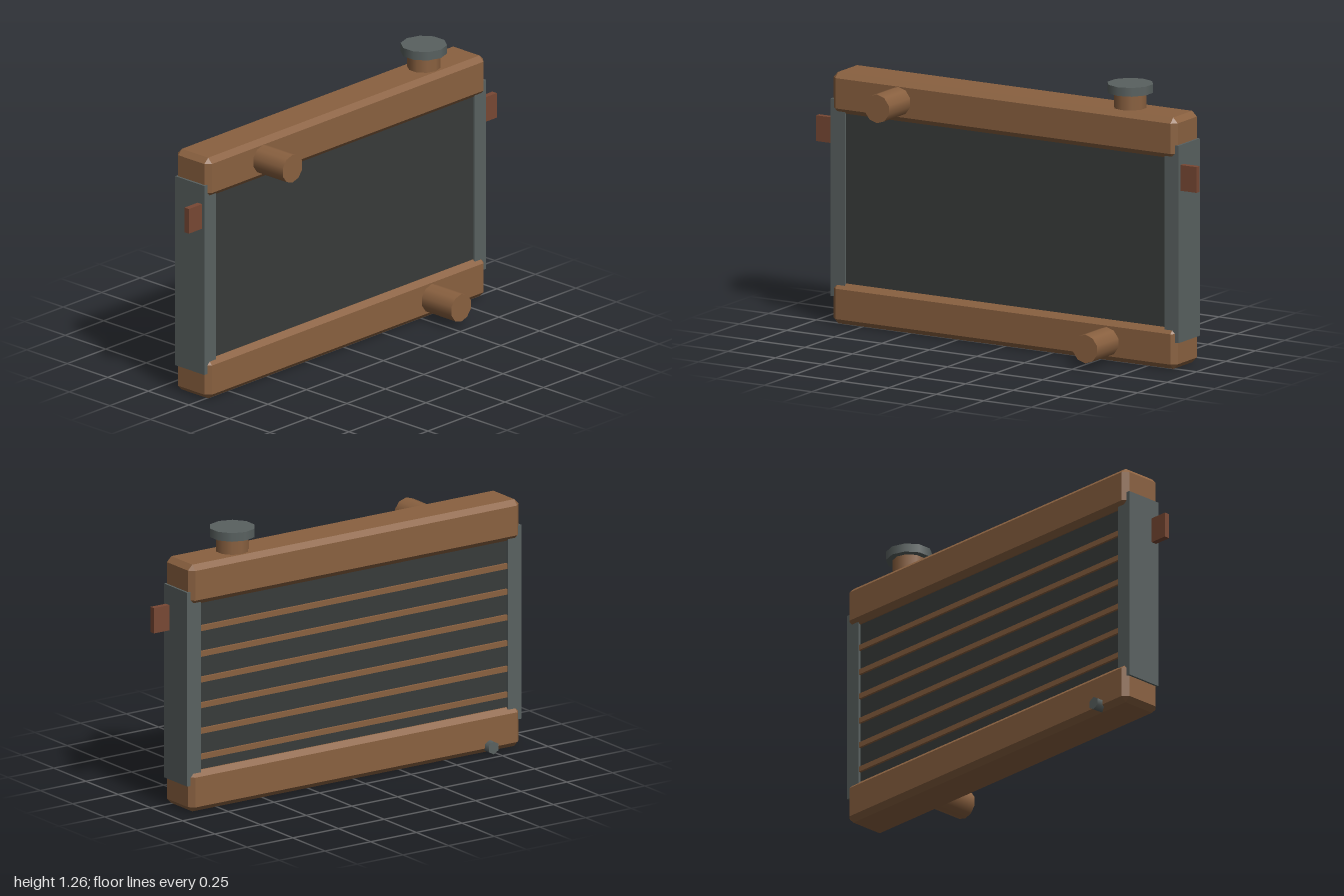
import * as THREE from 'three';
import { ConvexGeometry } from 'three/addons/geometries/ConvexGeometry.js';

const material = (color, flatShading = false) => new THREE.MeshStandardMaterial({ color, flatShading });

// Box with every edge cut at 45 degrees
function chamferedBox(w, h, d, c) {
  const points = [];
  for (const sx of [-1, 1]) for (const sy of [-1, 1]) for (const sz of [-1, 1]) {
    for (let face = 0; face < 3; face++) {
      const cut = [c, c, c];
      cut[face] = 0;
      points.push(new THREE.Vector3(sx * (w / 2 - cut[0]), sy * (h / 2 - cut[1]), sz * (d / 2 - cut[2])));
    }
  }
  return new ConvexGeometry(points);
}

export function createModel() {
  const model = new THREE.Group();
  model.name = 'radiator';
  const bronze = material(0x8a6140);
  const bronzeFlat = material(0x8a6140, true);
  const steel = material(0x596160);
  const darkFins = material(0x383b3a);
  const copper = material(0x784834);
  const midZ = -0.075;

  function add(name, geometry, mat, x, y, z) {
    const mesh = new THREE.Mesh(geometry, mat);
    mesh.name = name;
    mesh.position.set(x, y, z);
    model.add(mesh);
    return mesh;
  }

  // Finned core and the tubes across its back
  add('core', new THREE.BoxGeometry(1.7, 0.84, 0.155), darkFins, 0, 0.58, midZ + 0.002);
  for (let i = 0; i < 6; i++) {
    add('coreTube', new THREE.BoxGeometry(1.69, 0.025, 0.02), bronze, 0, 0.25 + i * 0.12, -0.152);
  }

  // Upper and lower tanks
  const tank = chamferedBox(1.81, 0.187, 0.21, 0.024);
  add('upperTank', tank, bronzeFlat, 0, 1.061, midZ);
  add('lowerTank', tank, bronzeFlat, 0, 0.0955, midZ);

  // Side plates with mounting tabs
  for (const side of [-1, 1]) {
    add('sidePlate', new THREE.BoxGeometry(0.075, 0.905, 0.18), steel, side * 0.8775, 0.578, midZ);
    add('mountingTab', new THREE.BoxGeometry(0.09, 0.118, 0.027), copper, side * 0.955, 0.881, -0.0135);
  }

  // Hose pipes facing forward
  const pipe = new THREE.CylinderGeometry(0.066, 0.066, 0.21, 10).rotateX(Math.PI / 2);
  add('inletPipe', pipe, bronze, -0.55, 1.064, 0.107);
  add('outletPipe', pipe, bronze, 0.545, 0.093, 0.107);

  // Filler neck and cap
  add('fillerNeck', new THREE.CylinderGeometry(0.075, 0.075, 0.09, 10), bronze, 0.605, 1.185, midZ);
  add('fillerCap', new THREE.CylinderGeometry(0.105, 0.105, 0.04, 10), steel, 0.605, 1.245, midZ);

  // Drain plug at the lower back
  add('drainPlug', new THREE.CylinderGeometry(0.03, 0.03, 0.055, 6).rotateX(Math.PI / 2), steel, -0.73, 0.032, -0.183);

  return model;
}
